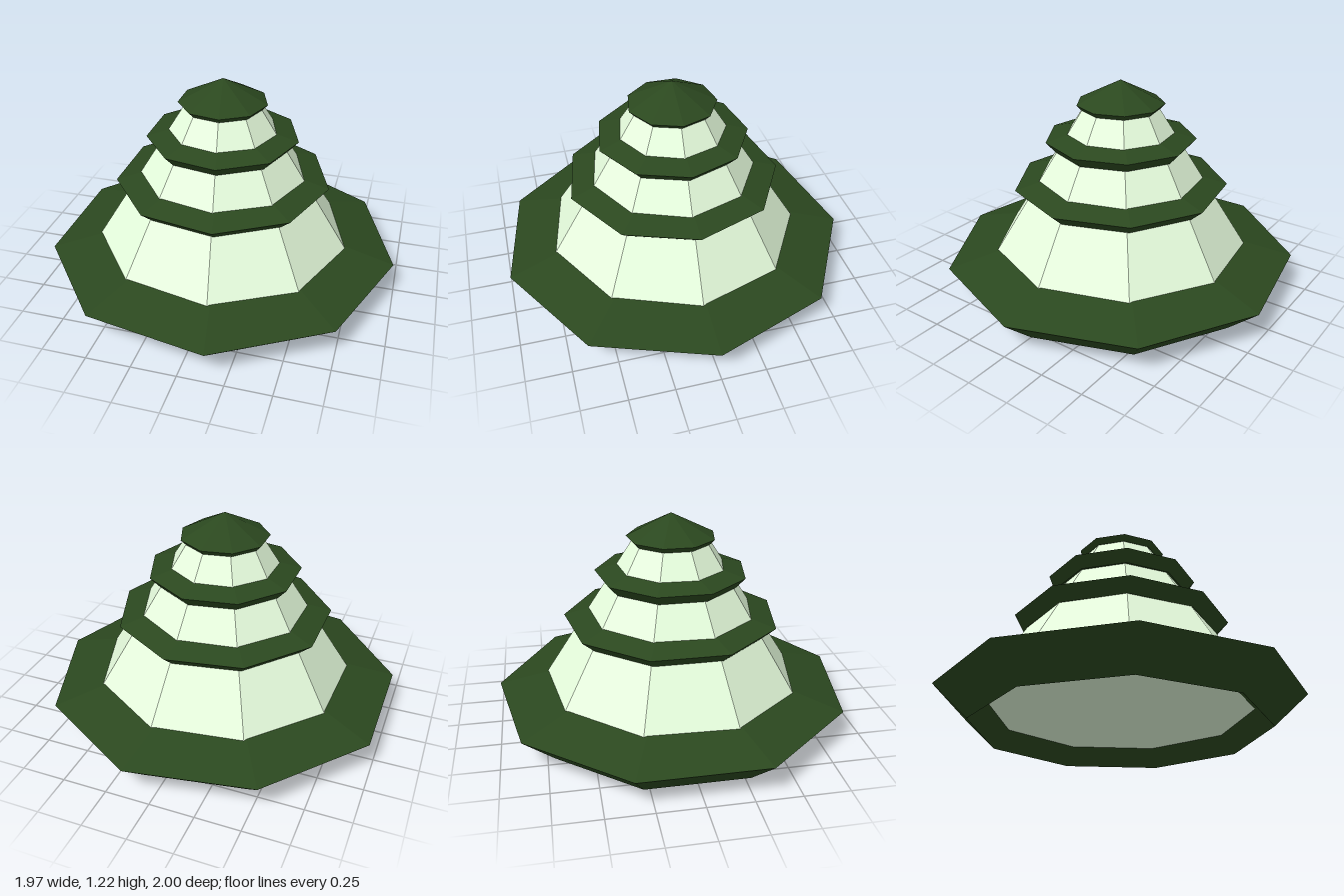
import * as THREE from 'three';

const SIDES = 9;
const AXIS_X = -0.03; // a nine-sided body with a corner on +x sits slightly off its bounds' centre

export function createModel() {
  const group = new THREE.Group();
  const leaf = new THREE.MeshStandardMaterial({ color: 0x2b481f, flatShading: true });
  const pale = new THREE.MeshStandardMaterial({ color: 0xe8ffdf, flatShading: true });

  const add = (name, geometry, material) => {
    const mesh = new THREE.Mesh(geometry, material);
    mesh.name = name;
    mesh.position.x = AXIS_X;
    group.add(mesh);
    return mesh;
  };
  // profile points [radius, y] run upwards along the outside
  const turn = (points) => new THREE.LatheGeometry(
    points.map(([r, y]) => new THREE.Vector2(r, y)), SIDES, Math.PI / 2);

  // dark flared tiers: underside lip, undercut, rim and sloping top sunk into the wall
  add('baseTier', turn([[0.726, 0.1], [0.823, 0], [1.015, 0.175], [0.7, 0.261]]), leaf);
  add('lowerTier', turn([[0.51, 0.555], [0.54, 0.555], [0.612, 0.62], [0.448, 0.666]]), leaf);
  add('upperTier', turn([[0.345, 0.83], [0.375, 0.83], [0.429, 0.89], [0.285, 0.93]]), leaf);
  add('topCap', turn([[0.195, 1.06], [0.222, 1.06], [0.25, 1.09], [0, 1.22]]), leaf);

  // pale tapering wall running through the tiers, turned very slightly against them
  const wall = add('wall', turn([[0.738, 0.24], [0.216, 1.065]]), pale);
  wall.rotation.y = -0.021;

  // pale floor recessed inside the base
  add('floor', new THREE.CircleGeometry(0.726, SIDES).rotateX(Math.PI / 2).translate(0, 0.1, 0), pale);

  return group;
}
